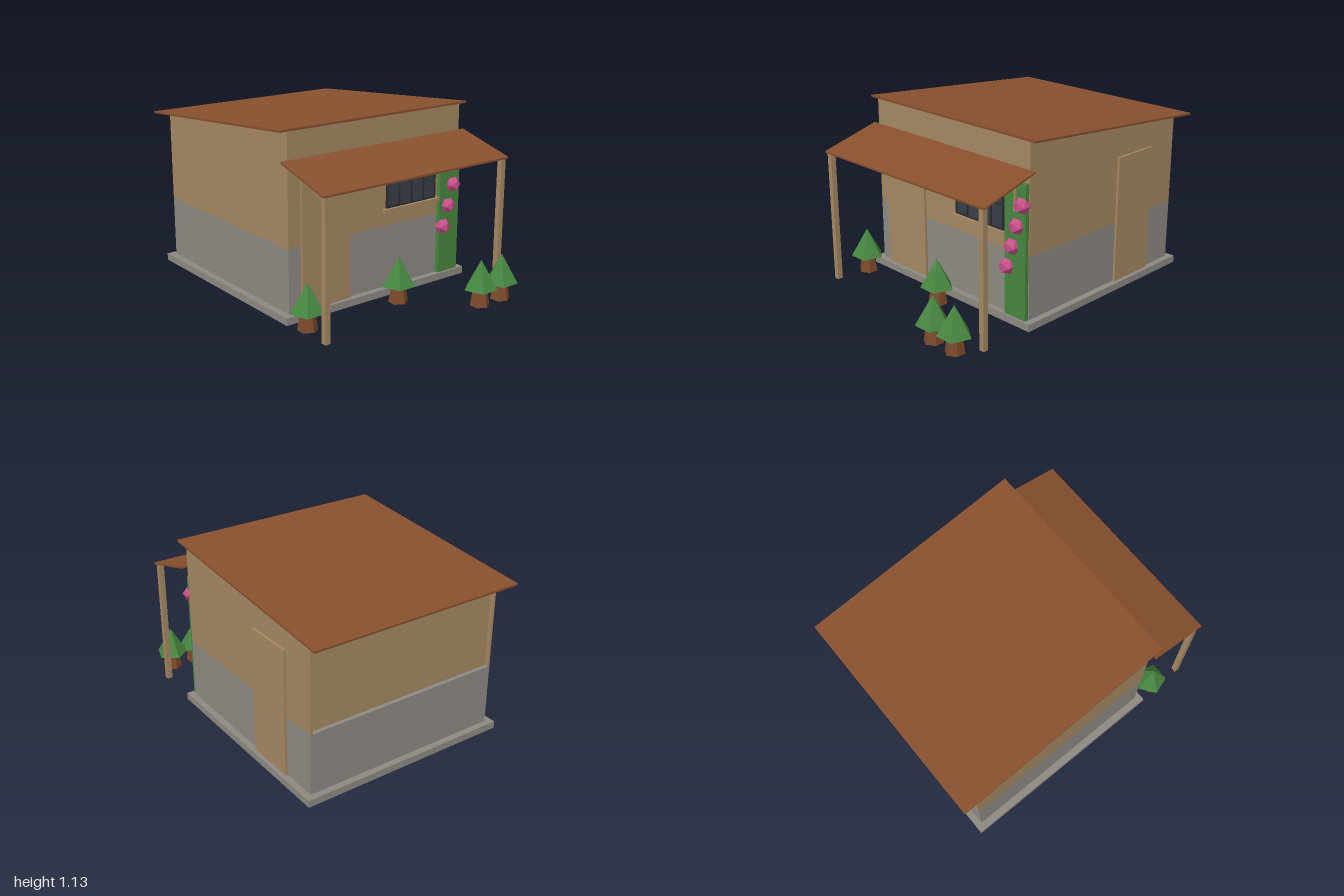
import * as THREE from 'three';

export function createModel() {
  const house = new THREE.Group();
  house.name = 'gardenHouse';

  const paint = (name, color) => {
    const m = new THREE.MeshStandardMaterial({ color, flatShading: true });
    m.name = name;
    return m;
  };
  const timber = paint('timber', 0xa58862);
  const stone = paint('stone', 0x8e8982);
  const rust = paint('rustBrown', 0x87502e);
  const bark = paint('bark', 0x7c4a29);
  const leaf = paint('leafGreen', 0x478740);
  const glass = paint('windowGlass', 0x3a3f47);
  const bars = paint('windowBars', 0x2a2d33);
  const pink = paint('blossomPink', 0xc9508a);

  const add = (name, geometry, material, parent = house) => {
    const mesh = new THREE.Mesh(geometry, material);
    mesh.name = name;
    parent.add(mesh);
    return mesh;
  };

  // Box given by its minimum and maximum along each axis
  const box = (name, material, [x0, x1], [y0, y1], [z0, z1], parent) => {
    const mesh = add(name, new THREE.BoxGeometry(x1 - x0, y1 - y0, z1 - z0), material, parent);
    mesh.position.set((x0 + x1) / 2, (y0 + y1) / 2, (z0 + z1) / 2);
    return mesh;
  };

  // Side profile of [z, y] points swept from x0 to x1
  const sweep = (name, material, [x0, x1], points) => {
    const shape = new THREE.Shape(points.map(([z, y]) => new THREE.Vector2(z, y)));
    const geometry = new THREE.ExtrudeGeometry(shape, { depth: x1 - x0, bevelEnabled: false });
    geometry.rotateY(-Math.PI / 2).translate(x1, 0, 0);
    return add(name, geometry, material);
  };

  // Base and walls
  const wallTop = z => 1.111 + (z - 0.42) * 0.084;
  const wallProfile = (z0, z1) => [[z0, 0.435], [z1, 0.435], [z1, wallTop(z1)], [z0, wallTop(z0)]];
  box('foundation', stone, [-0.685, 0.705], [0, 0.045], [-0.93, 0.46]);
  box('lowerWall', stone, [-0.64, 0.665], [0.045, 0.435], [-0.89, 0.42]);
  sweep('upperWall', timber, [-0.64, 0.665], wallProfile(-0.865, 0.42));
  // Side walls run slightly past the recessed back panel
  sweep('backCornerRight', timber, [-0.64, -0.625], wallProfile(-0.89, -0.865));
  sweep('backCornerLeft', timber, [0.65, 0.665], wallProfile(-0.89, -0.865));

  // Roofs
  sweep('mainRoof', rust, [-0.695, 0.715],
    [[-1, 0.994], [0.43, 1.113], [0.43, 1.126], [-1, 1.006]]);
  sweep('porchRoof', rust, [-0.685, 0.705],
    [[0.42, 0.938], [0.42, 0.95], [0.805, 0.843], [0.805, 0.831]]);
  for (const [name, x] of [['porchPostRight', -0.653], ['porchPostLeft', 0.673]]) {
    box(name, timber, [x - 0.017, x + 0.017], [0, 0.835], [0.766, 0.8]);
  }

  // Doors
  box('frontDoor', timber, [-0.555, -0.205], [0.045, 0.85], [0.41, 0.435]);
  box('sideDoor', timber, [0.655, 0.68], [0.045, 0.85], [-0.66, -0.34]);

  // Window with glazing bars and sill
  const windowGroup = new THREE.Group();
  windowGroup.name = 'window';
  house.add(windowGroup);
  box('pane', glass, [0.075, 0.47], [0.545, 0.85], [0.418, 0.426], windowGroup);
  for (const x of [0.08, 0.175, 0.273, 0.37, 0.465]) {
    box('uprightBar', bars, [x - 0.005, x + 0.005], [0.545, 0.85], [0.42, 0.433], windowGroup);
  }
  for (const y of [0.55, 0.698, 0.845]) {
    box('crossBar', bars, [0.075, 0.47], [y - 0.005, y + 0.005], [0.42, 0.432], windowGroup);
  }
  box('sill', timber, [0.05, 0.492], [0.52, 0.545], [0.41, 0.45], windowGroup);

  // Climbing vine, its slat and blossoms
  box('vine', leaf, [0.497, 0.66], [0.045, 0.87], [0.415, 0.446]);
  box('vineSlat', timber, [0.572, 0.59], [0.7, 0.86], [0.44, 0.454]);
  for (let i = 0; i < 4; i++) {
    const blossom = add('blossom', new THREE.IcosahedronGeometry(0.051, 0), pink);
    blossom.position.set(0.523 + i * 0.038, 0.352 + i * 0.131, 0.452);
  }

  // Small trees
  for (const [x, z] of [[-0.62, 0.57], [0.055, 0.57], [0.403, 0.908], [0.577, 0.908]]) {
    const tree = new THREE.Group();
    tree.name = 'tree';
    tree.position.set(x, 0, z);
    house.add(tree);
    add('trunk', new THREE.CylinderGeometry(0.043, 0.06, 0.11, 6), bark, tree).position.y = 0.055;
    const crown = add('crown', new THREE.ConeGeometry(0.104, 0.18, 5), leaf, tree);
    crown.position.y = 0.195;
    crown.rotation.y = Math.PI;
  }

  return house;
}
